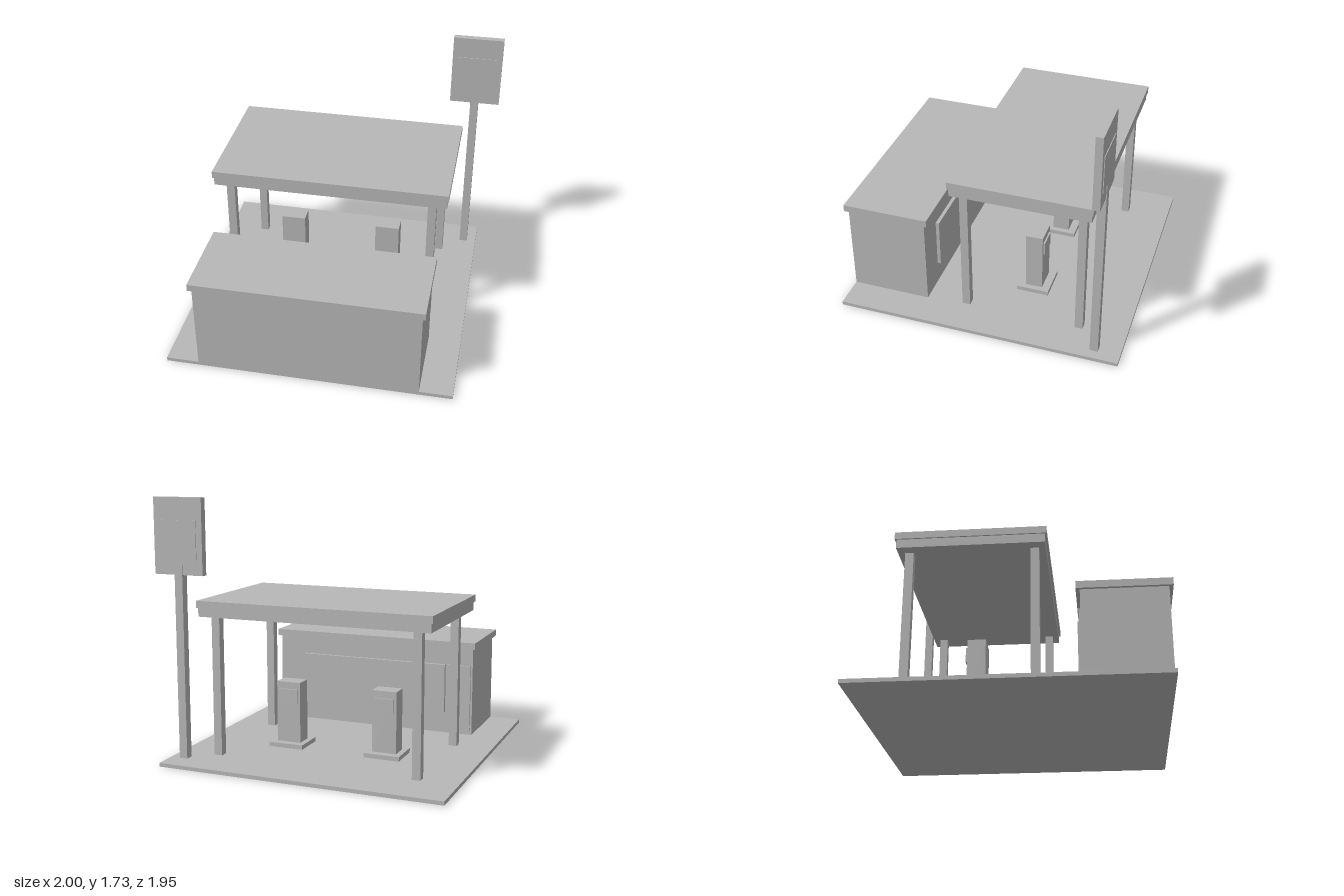
import * as THREE from 'three';

const grey = new THREE.MeshStandardMaterial({ color: 0xb8b8b8 });
grey.name = 'plain grey';

// Box given by its extents along each axis
function block(parent, name, [x0, x1], [y0, y1], [z0, z1]) {
  const mesh = new THREE.Mesh(new THREE.BoxGeometry(x1 - x0, y1 - y0, z1 - z0), grey);
  mesh.position.set((x0 + x1) / 2, (y0 + y1) / 2, (z0 + z1) / 2);
  mesh.name = name;
  parent.add(mesh);
  return mesh;
}

function group(parent, name) {
  const g = new THREE.Group();
  g.name = name;
  parent.add(g);
  return g;
}

// Extent from a centre and a full width
const span = (c, w) => [c - w / 2, c + w / 2];

export function createModel() {
  const model = new THREE.Group();
  model.name = 'fuelStation';
  const mid = -0.04; // shared centre line of the buildings
  const ground = 0.025;

  block(model, 'pad', [-1, 0.92], [0, ground], [-0.975, 0.95]);

  // Shop, with its window and door facing the pumps
  const shop = group(model, 'shop');
  block(shop, 'shopWalls', span(mid, 1.48), [ground, 0.645], [0.41, 0.95]);
  block(shop, 'shopRoof', span(mid, 1.52), [0.645, 0.692], [0.385, 0.975]);
  block(shop, 'shopWindow', span(mid, 1.086), [0.178, 0.522], [0.386, 0.41]);
  block(shop, 'shopDoor', [-0.767, -0.6], [0.055, 0.522], [0.398, 0.41]);

  // Canopy on four square columns
  const canopy = group(model, 'canopy');
  block(canopy, 'canopyFascia', span(mid, 1.58), [0.957, 1.015], [-0.725, 0.205]);
  block(canopy, 'canopyRoof', span(mid, 1.6), [1.015, 1.062], [-0.735, 0.215]);
  for (const x of [mid - 0.69, mid + 0.69])
    for (const z of [-0.653, 0.137])
      block(canopy, 'canopyColumn', span(x, 0.056), [ground, 0.957], span(z, 0.055));

  // Two pumps, each on a plinth with a screen at the back
  for (const x of [mid - 0.345, mid + 0.345]) {
    const pump = group(model, 'pump');
    block(pump, 'pumpPlinth', span(x, 0.245), [ground, 0.055], [-0.367, -0.145]);
    block(pump, 'pumpBody', span(x, 0.17), [0.055, 0.472], [-0.314, -0.197]);
    block(pump, 'pumpScreen', span(x, 0.135), [0.33, 0.424], [-0.325, -0.314]);
  }

  // Roadside sign with a raised panel through both faces
  const sign = group(model, 'sign');
  block(sign, 'signPole', span(0.827, 0.056), [ground, 1.335], span(-0.801, 0.055));
  block(sign, 'signBoard', [0.653, 1], [1.237, 1.73], span(-0.801, 0.047));
  block(sign, 'signPanel', span(0.827, 0.265), [1.335, 1.585], span(-0.801, 0.056));

  return model;
}
